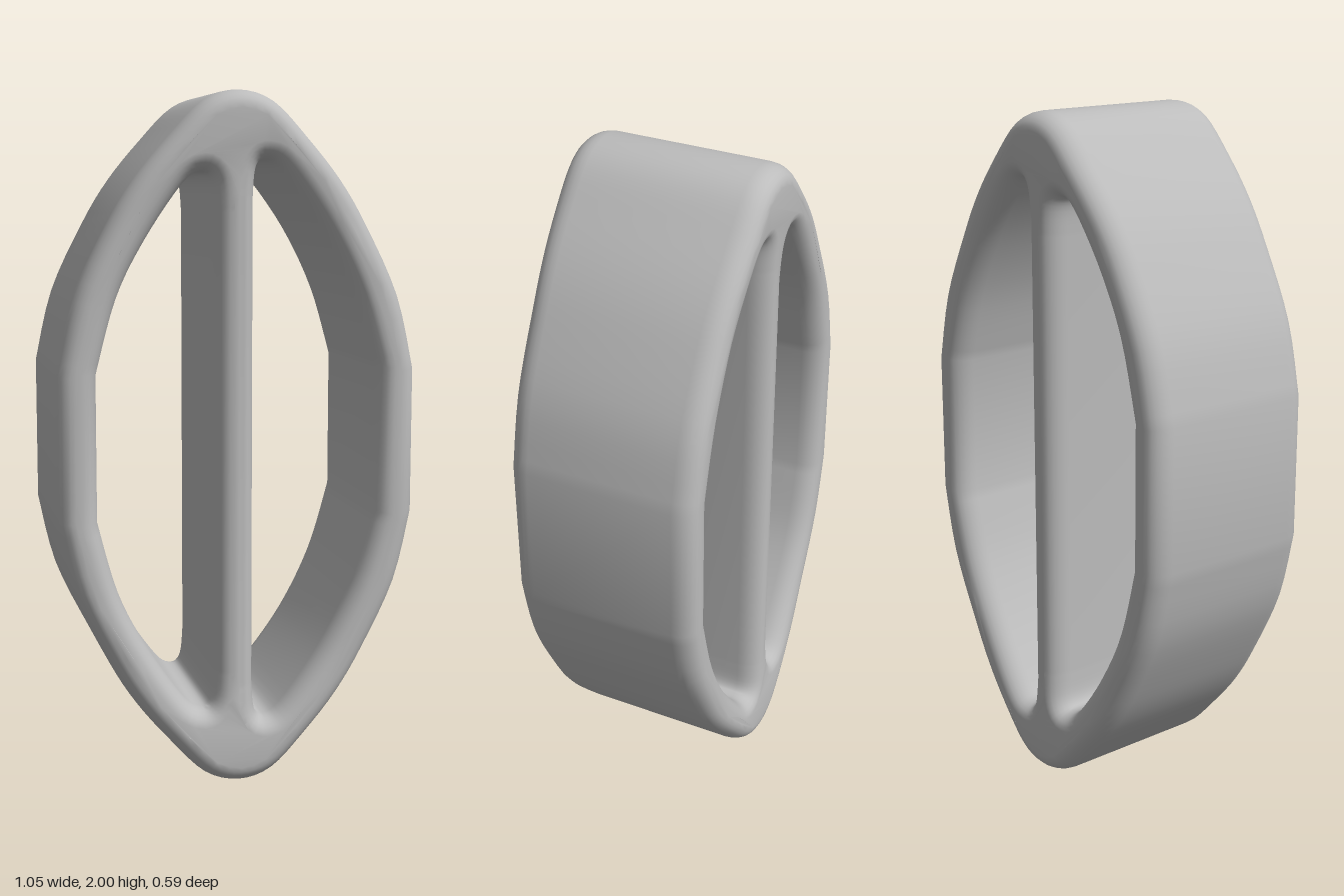
import * as THREE from 'three';
import { toCreasedNormals } from 'three/addons/utils/BufferGeometryUtils.js';

const MID = 1; // height of the mirror plane between top and bottom

// Smooth arc through the given upper points, closed by its mirror image below.
function mirroredLoop(upper, divisions) {
  const arc = new THREE.SplineCurve(upper.map(([x, y]) => new THREE.Vector2(x, y))).getPoints(divisions);
  const lower = arc.map((p) => new THREE.Vector2(p.x, 2 * MID - p.y)).reverse();
  return [...arc, ...lower];
}

export function createModel() {
  const grey = new THREE.MeshStandardMaterial({ color: 0xbcbcbc });
  grey.name = 'plain grey';

  // Pointed oval outline: right half, then mirrored to the left
  const side = [[0.525, 1.21], [0.475, 1.42], [0.38, 1.62], [0.3, 1.75], [0.2, 1.87], [0.1, 1.97]];
  const outline = [...side, [0, 2], ...side.map(([x, y]) => [-x, y]).reverse()];
  const shape = new THREE.Shape(mirroredLoop(outline, 48));

  // Two openings either side of the slightly off-centre divider
  const openings = [
    [[0.408, 1.21], [0.345, 1.42], [0.25, 1.61], [0.13, 1.775], [0.077, 1.808], [0.05, 1.785], [0.043, 1.7]],
    [[-0.408, 1.21], [-0.35, 1.42], [-0.27, 1.58], [-0.16, 1.74], [-0.105, 1.773], [-0.078, 1.745], [-0.07, 1.66]],
  ];
  for (const opening of openings) shape.holes.push(new THREE.Path(mirroredLoop(opening, 30)));

  // Deep band with rounded front and back rims
  const halfDepth = 0.284, rim = 0.065, rimSize = 0.05;
  const geometry = new THREE.ExtrudeGeometry(shape, {
    depth: 2 * (halfDepth - rim),
    bevelEnabled: true,
    bevelThickness: rim,
    bevelSize: rimSize,
    bevelOffset: -rimSize,
    bevelSegments: 6,
  });
  geometry.translate(0, 0, rim - halfDepth);

  // The rims flare a little toward the two tips
  const pos = geometry.attributes.position;
  for (let i = 0; i < pos.count; i++) {
    const flare = THREE.MathUtils.smoothstep(Math.abs(pos.getY(i) - MID), 0.6, 0.9);
    pos.setZ(i, pos.getZ(i) * (1 + 0.035 * flare));
  }

  const frame = new THREE.Mesh(toCreasedNormals(geometry, 0.7), grey);
  frame.name = 'dividedFrame';

  const model = new THREE.Group();
  model.name = 'dividedOvalBand';
  model.add(frame);
  return model;
}
